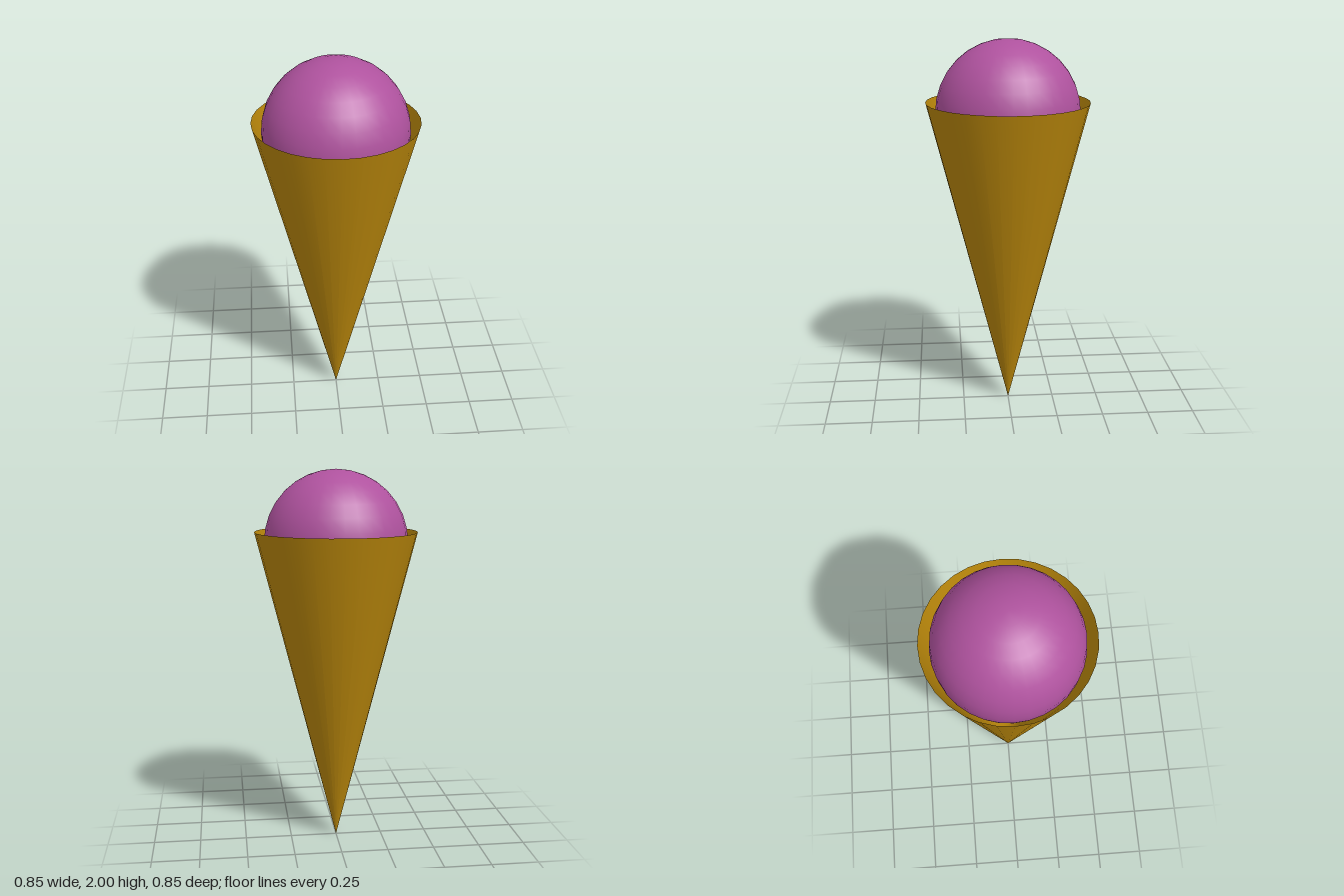
import * as THREE from 'three';

const SIDES = 32;
const CONE_HEIGHT = 1.68;
const CONE_RADIUS = 0.425;
const SCOOP_RADIUS = 0.375;

export function createModel() {
  const group = new THREE.Group();
  group.name = 'iceCreamCone';

  // Hollow wafer, open at the top, tip on the ground
  const cone = new THREE.Mesh(
    new THREE.CylinderGeometry(CONE_RADIUS, 0, CONE_HEIGHT, SIDES, 1, true),
    new THREE.MeshStandardMaterial({ color: 0xb8860b, side: THREE.DoubleSide })
  );
  cone.name = 'waferCone';
  cone.position.y = CONE_HEIGHT / 2;
  group.add(cone);

  // Scoop resting inside the rim
  const scoop = new THREE.Mesh(
    new THREE.SphereGeometry(SCOOP_RADIUS, SIDES, SIDES / 2),
    new THREE.MeshStandardMaterial({ color: 0xaf529e })
  );
  scoop.name = 'scoop';
  scoop.position.y = 2 - SCOOP_RADIUS;
  group.add(scoop);

  return group;
}
